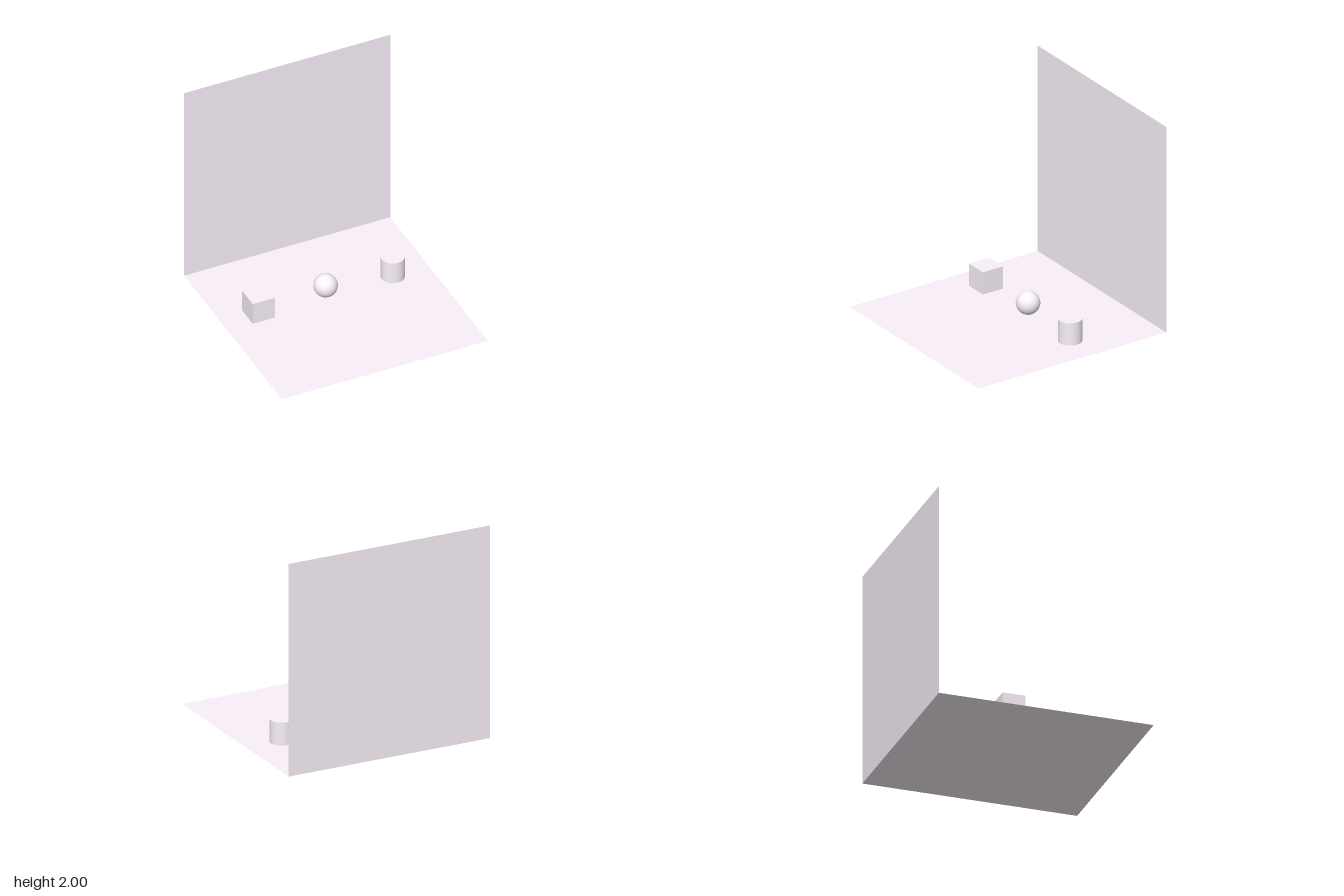
import * as THREE from 'three';

export function createModel() {
  const group = new THREE.Group();
  const solid = new THREE.MeshStandardMaterial({ color: 0xf9f0f9 });
  const sheet = new THREE.MeshStandardMaterial({ color: 0xf9f0f9, side: THREE.DoubleSide });
  const size = 0.216;

  const add = (name, geometry, material, x, y, z) => {
    const mesh = new THREE.Mesh(geometry, material);
    mesh.name = name;
    mesh.position.set(x, y, z);
    group.add(mesh);
  };

  // Thin floor and back wall
  add('floor', new THREE.PlaneGeometry(2, 2).rotateX(-Math.PI / 2), sheet, 0, 0, 0);
  add('backWall', new THREE.PlaneGeometry(2, 2), sheet, 0, 1, -1);

  // Row of three solids resting on the floor
  const y = size / 2 + 0.001, z = -0.213;
  add('cube', new THREE.BoxGeometry(size, size, size), solid, -0.65, y, z);
  add('ball', new THREE.SphereGeometry(size / 2, 48, 32), solid, 0, y, z);
  add('cylinder', new THREE.CylinderGeometry(size / 2, size / 2, size, 48), solid, 0.652, y, z);

  return group;
}
